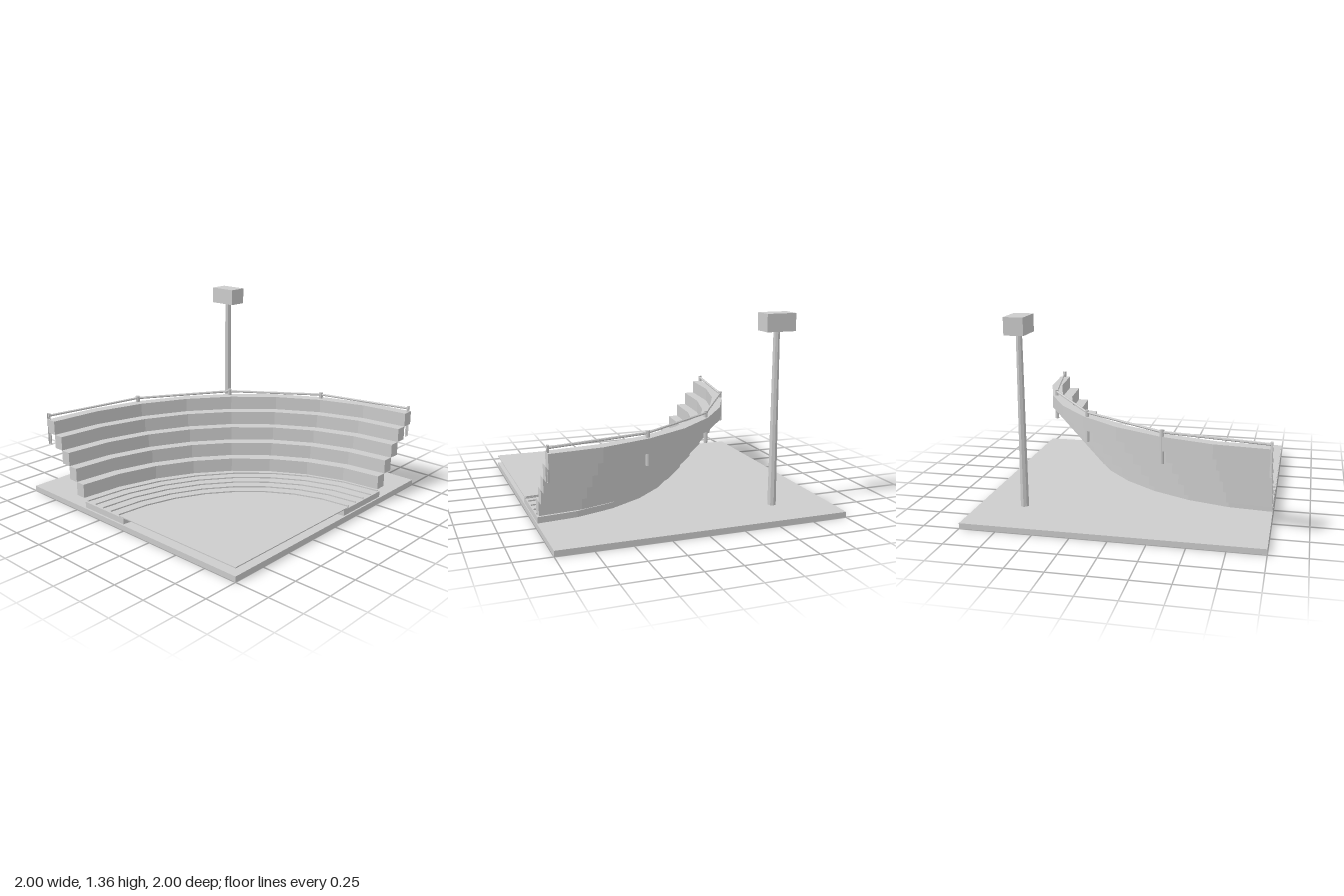
import * as THREE from 'three';

const SEGMENTS = 8;

export function createModel() {
  const group = new THREE.Group();
  const grey = new THREE.MeshStandardMaterial({ color: 0xcccccc });
  grey.name = 'concrete grey';
  grey.side = THREE.DoubleSide;

  function add(name, geometry, x = 0, y = 0, z = 0) {
    const flat = geometry.index ? geometry.toNonIndexed() : geometry;
    flat.computeVertexNormals();
    const mesh = new THREE.Mesh(flat, grey);
    mesh.name = name;
    mesh.position.set(x, y, z);
    group.add(mesh);
    return mesh;
  }

  // Point on a quarter ellipse around the corner (1, 1); t runs from the front end to the right end
  const onArc = (rx, rz, t) => {
    const a = t * Math.PI / 2;
    return new THREE.Vector2(1 - rx * Math.cos(a), 1 - rz * Math.sin(a));
  };
  const arc = (rx, rz) => Array.from({ length: SEGMENTS + 1 }, (_, i) => onArc(rx, rz, i / SEGMENTS));

  // Upright slab from a plan outline given as (x, z)
  function slab(name, outline, bottom, top) {
    const shape = new THREE.Shape(outline.map(p => new THREE.Vector2(p.x, -p.y)));
    const geometry = new THREE.ExtrudeGeometry(shape, { depth: top - bottom, bevelEnabled: false });
    geometry.rotateX(-Math.PI / 2);
    add(name, geometry, 0, bottom, 0);
  }
  const ring = (name, inner, outer, ratio, bottom, top) =>
    slab(name, [...arc(outer * ratio, outer), ...arc(inner * ratio, inner).reverse()], bottom, top);

  // Ground plate
  add('groundPlate', new THREE.BoxGeometry(2, 0.038, 2), 0, 0.019, 0);

  // Running track, lane lines and infield
  ring('track', 1.1, 1.54, 0.91, 0.048, 0.09);
  for (let i = 0; i < 5; i++) {
    const r = 1.15 + i * 0.09;
    ring('laneLine', r - 0.004, r + 0.004, 0.91, 0.1, 0.109);
  }
  slab('infield', [...arc(1.046, 1.15), new THREE.Vector2(1, 1)], 0.091, 0.098);

  // Stepped seating
  for (let i = 0; i < 5; i++) {
    const r = 1.51 + i * 0.08;
    ring('seatingTier', r, r + 0.08, 0.937, 0.115 + i * 0.098, 0.115 + (i + 1) * 0.098);
  }

  // Guard rail: posts, halved where the stand is cut, joined by straight bars
  const posts = [0, 1, 2, 3, 4].map(i => onArc(1.78, 1.875, i / 4));
  posts.forEach((p, i) => {
    const end = i === 0 || i === 4;
    const start = i === 0 ? Math.PI / 2 : Math.PI;
    const post = new THREE.CylinderGeometry(0.015, 0.015, 0.23, 8, 1, false, end ? start : 0, end ? Math.PI : Math.PI * 2);
    add('railPost', post, p.x, 0.535, p.y);
    if (i === 0) return;
    const a = new THREE.Vector3(posts[i - 1].x, 0.634, posts[i - 1].y);
    const b = new THREE.Vector3(p.x, 0.634, p.y);
    const bar = new THREE.CylinderGeometry(0.009, 0.009, a.distanceTo(b), 6);
    const mid = a.clone().lerp(b, 0.5);
    add('railBar', bar, mid.x, mid.y, mid.z)
      .quaternion.setFromUnitVectors(new THREE.Vector3(0, 1, 0), b.sub(a).normalize());
  });

  // Floodlight tower
  add('lightPole', new THREE.CylinderGeometry(0.022, 0.03, 1.21, 8), -0.605, 0.64, -0.685);
  add('lightBox', new THREE.BoxGeometry(0.21, 0.12, 0.135), -0.605, 1.3, -0.685);

  return group;
}
